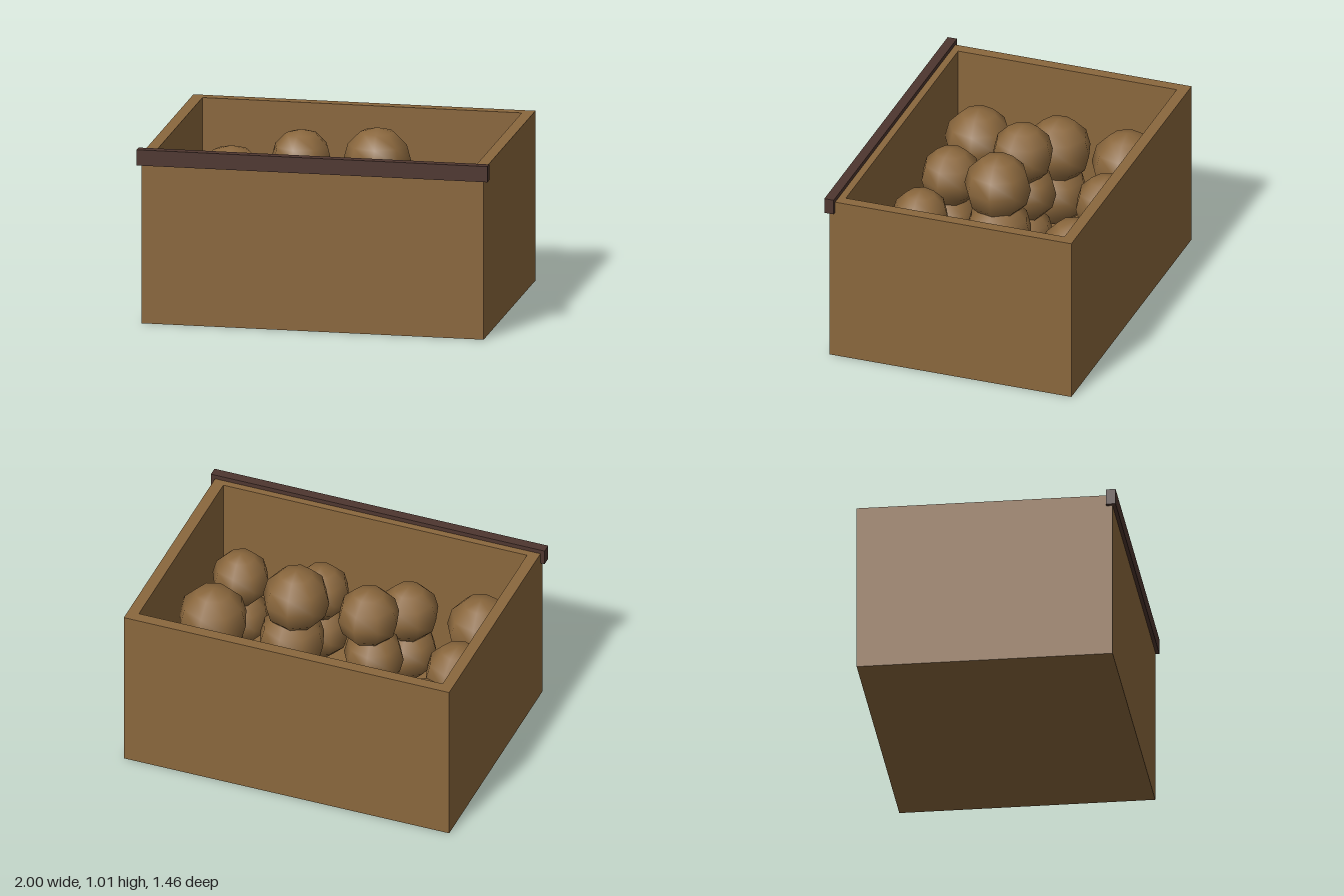
import * as THREE from 'three';

export function createModel() {
  const model = new THREE.Group();
  model.name = 'crateOfPotatoes';

  const wood = new THREE.MeshStandardMaterial({ color: 0x8a673d });
  wood.name = 'brown';
  const darkWood = new THREE.MeshStandardMaterial({ color: 0x4e362f });
  darkWood.name = 'darkBrown';

  const add = (name, geometry, material, x, y, z, parent = model) => {
    const mesh = new THREE.Mesh(geometry, material);
    mesh.name = name;
    mesh.position.set(x, y, z);
    parent.add(mesh);
    return mesh;
  };

  // Crate: a floor slab with a rectangular ring of walls on top
  const floorTop = 0.07, height = 0.975, back = -0.73, front = 0.71;
  add('crateFloor', new THREE.BoxGeometry(1.95, floorTop, front - back), wood,
    0, floorTop / 2, (front + back) / 2);

  const rectangle = (Type, halfWidth, z0, z1) => new Type([
    new THREE.Vector2(-halfWidth, -z1), new THREE.Vector2(halfWidth, -z1),
    new THREE.Vector2(halfWidth, -z0), new THREE.Vector2(-halfWidth, -z0),
  ]);
  const ring = rectangle(THREE.Shape, 0.975, back, front);
  ring.holes.push(rectangle(THREE.Path, 0.91, -0.665, 0.635));
  const walls = new THREE.ExtrudeGeometry(ring, { depth: height - floorTop, bevelEnabled: false });
  walls.rotateX(-Math.PI / 2);
  add('crateWalls', walls, wood, 0, floorTop, 0);

  // Dark rail along the upper front edge
  add('frontRail', new THREE.BoxGeometry(2, 0.09, 0.055), darkWood, 0, 0.955, 0.7025);

  // Potatoes: [x, y, z, radius], a low-poly ball each
  const middleLayer = [
    [-0.70, 0.56, -0.445, 0.203], [-0.26, 0.54, -0.485, 0.18],
    [0.265, 0.53, -0.48, 0.18], [0.74, 0.54, -0.485, 0.172],
    [-0.75, 0.557, -0.02, 0.19], [-0.245, 0.55, -0.015, 0.172],
    [0.24, 0.55, -0.03, 0.192], [0.73, 0.53, 0.015, 0.2],
    [-0.71, 0.55, 0.44, 0.195], [-0.275, 0.545, 0.445, 0.173],
    [0.245, 0.555, 0.435, 0.165], [0.72, 0.537, 0.415, 0.165],
  ];
  const topLayer = [[-0.21, 0.805, -0.005, 0.178], [0.22, 0.82, -0.015, 0.192]];
  const bottomLayer = middleLayer.map(([x, y, z, r]) => [x * 0.99, y - 0.27, z + 0.008, r - 0.008]);

  const potatoes = new THREE.Group();
  potatoes.name = 'potatoes';
  model.add(potatoes);
  [...bottomLayer, ...middleLayer, ...topLayer].forEach(([x, y, z, r], i) => {
    const potato = add('potato', new THREE.SphereGeometry(r, 8, 6), wood, x, y, z, potatoes);
    potato.rotation.y = 0.12 * Math.sin(i * 2.3);
  });

  return model;
}
